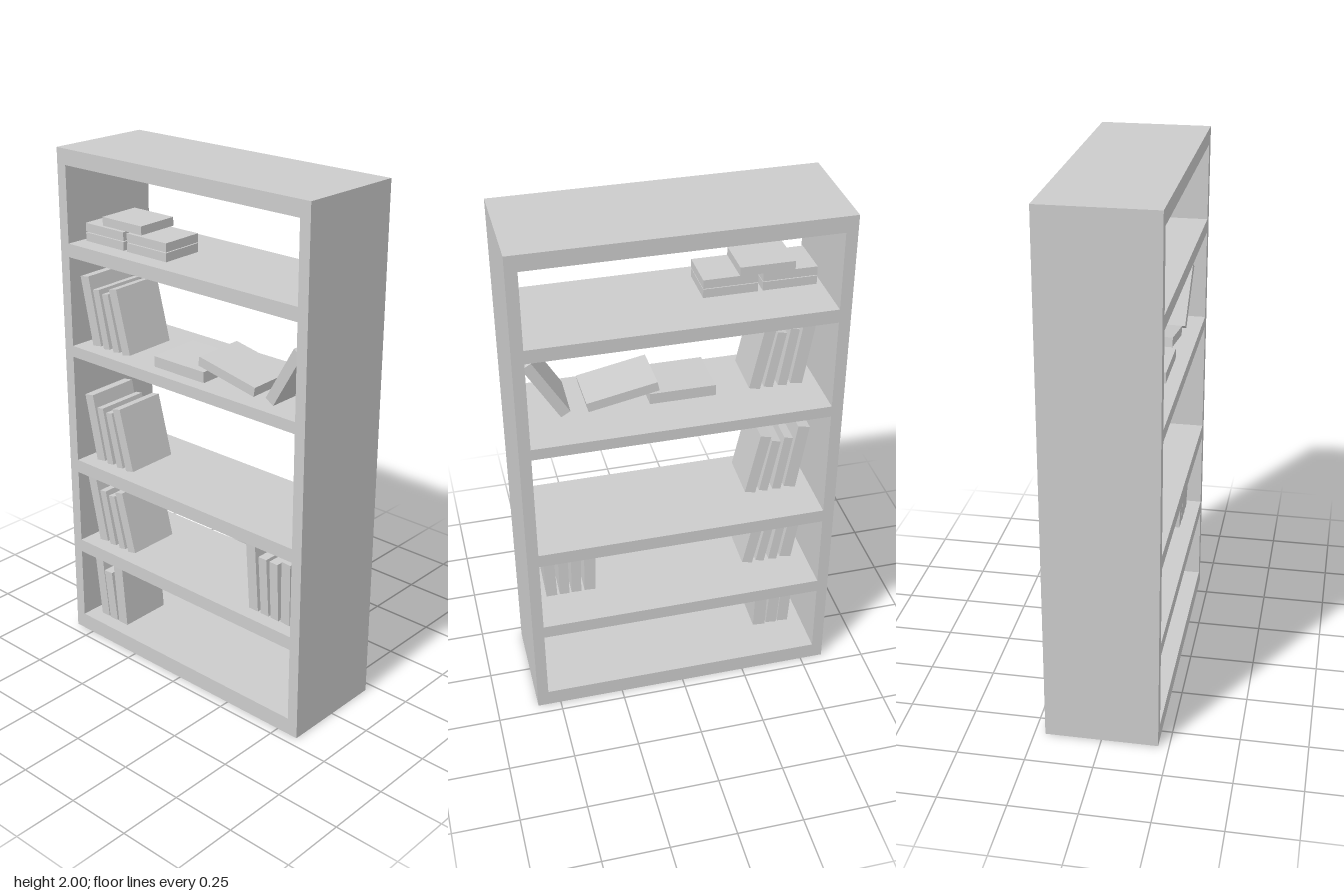
import * as THREE from 'three';

const grey = new THREE.MeshStandardMaterial({ color: 0xcccccc, flatShading: true });
const BOOK_Z = 0.057;

function addBook(parent, name, size, pos, rot = [0, 0, 0]) {
  const book = new THREE.Mesh(new THREE.BoxGeometry(...size), grey);
  book.name = name;
  book.position.set(...pos);
  book.rotation.set(...rot);
  parent.add(book);
}

// Upright books: each is [x at the bottom, x at the top, height, thickness]
function bookRow(name, shelfY, books) {
  const row = new THREE.Group();
  row.name = name;
  for (const [x0, x1, h, t] of books) {
    const lean = Math.atan2(x0 - x1, h);
    const y = shelfY + 0.004 + (h * Math.cos(lean) + t * Math.abs(Math.sin(lean))) / 2;
    addBook(row, 'uprightBook', [t, h, 0.205], [(x0 + x1) / 2, y, BOOK_Z], [0.04, -0.035, lean]);
  }
  return row;
}

// Bookcase frame: a rectangle with one opening per compartment, open front and back
function makeFrame(openings) {
  const rect = (path, x0, x1, y0, y1) =>
    path.moveTo(x0, y0).lineTo(x1, y0).lineTo(x1, y1).lineTo(x0, y1).closePath();
  const outline = new THREE.Shape();
  rect(outline, -0.59, 0.59, 0, 2);
  for (const [y0, y1] of openings) {
    const hole = new THREE.Path();
    rect(hole, -0.547, 0.547, y0, y1);
    outline.holes.push(hole);
  }
  const geometry = new THREE.ExtrudeGeometry(outline, { depth: 0.42, bevelEnabled: false });
  geometry.translate(0, 0, -0.21);
  const frame = new THREE.Mesh(geometry, grey);
  frame.name = 'bookcaseFrame';
  return frame;
}

export function createModel() {
  const model = new THREE.Group();
  model.name = 'bookcase';

  const openings = [[0.066, 0.36], [0.413, 0.715], [0.768, 1.202], [1.246, 1.596], [1.648, 1.94]];
  model.add(makeFrame(openings));
  const floors = openings.map((o) => o[0]);

  // Leaning set repeated on three shelves
  const leaning = [
    [-0.467, -0.515, 0.272, 0.046],
    [-0.414, -0.456, 0.232, 0.034],
    [-0.361, -0.408, 0.225, 0.034],
    [-0.308, -0.366, 0.253, 0.042],
  ];
  for (const i of [1, 2, 3]) model.add(bookRow('leaningBooks', floors[i], leaning));

  model.add(bookRow('bottomBooks', floors[0], [
    [-0.472, -0.492, 0.275, 0.044],
    [-0.423, -0.441, 0.217, 0.044],
    [-0.371, -0.383, 0.27, 0.05],
  ]));

  model.add(bookRow('rightBooks', floors[1], [
    [0.331, 0.322, 0.272, 0.044],
    [0.385, 0.378, 0.235, 0.038],
    [0.432, 0.43, 0.235, 0.038],
    [0.482, 0.488, 0.255, 0.042],
  ]));

  // Two stacks of flat books with one laid across them
  const stack = new THREE.Group();
  stack.name = 'stackedBooks';
  for (const x of [-0.427, -0.211]) {
    for (const level of [0, 1]) {
      addBook(stack, 'flatBook', [0.198, 0.033, 0.165], [x, floors[4] + 0.018 + 0.036 * level, BOOK_Z], [0.02, 0, 0]);
    }
  }
  addBook(stack, 'topBook', [0.2, 0.033, 0.165], [-0.342, floors[4] + 0.09, 0.05], [0.02, 0, 0]);
  model.add(stack);

  // Toppled books: one flat, one resting on it, one against the side
  const toppled = new THREE.Group();
  toppled.name = 'toppledBooks';
  addBook(toppled, 'flatBook', [0.245, 0.042, 0.205], [-0.037, floors[3] + 0.025, BOOK_Z], [0.03, 0, 0]);
  addBook(toppled, 'slopingBook', [0.265, 0.036, 0.2], [0.184, 1.299, 0.05], [0.03, 0, -0.19]);
  addBook(toppled, 'proppedBook', [0.04, 0.248, 0.205], [0.454, 1.367, BOOK_Z], [0.03, -0.03, -0.54]);
  model.add(toppled);

  return model;
}
